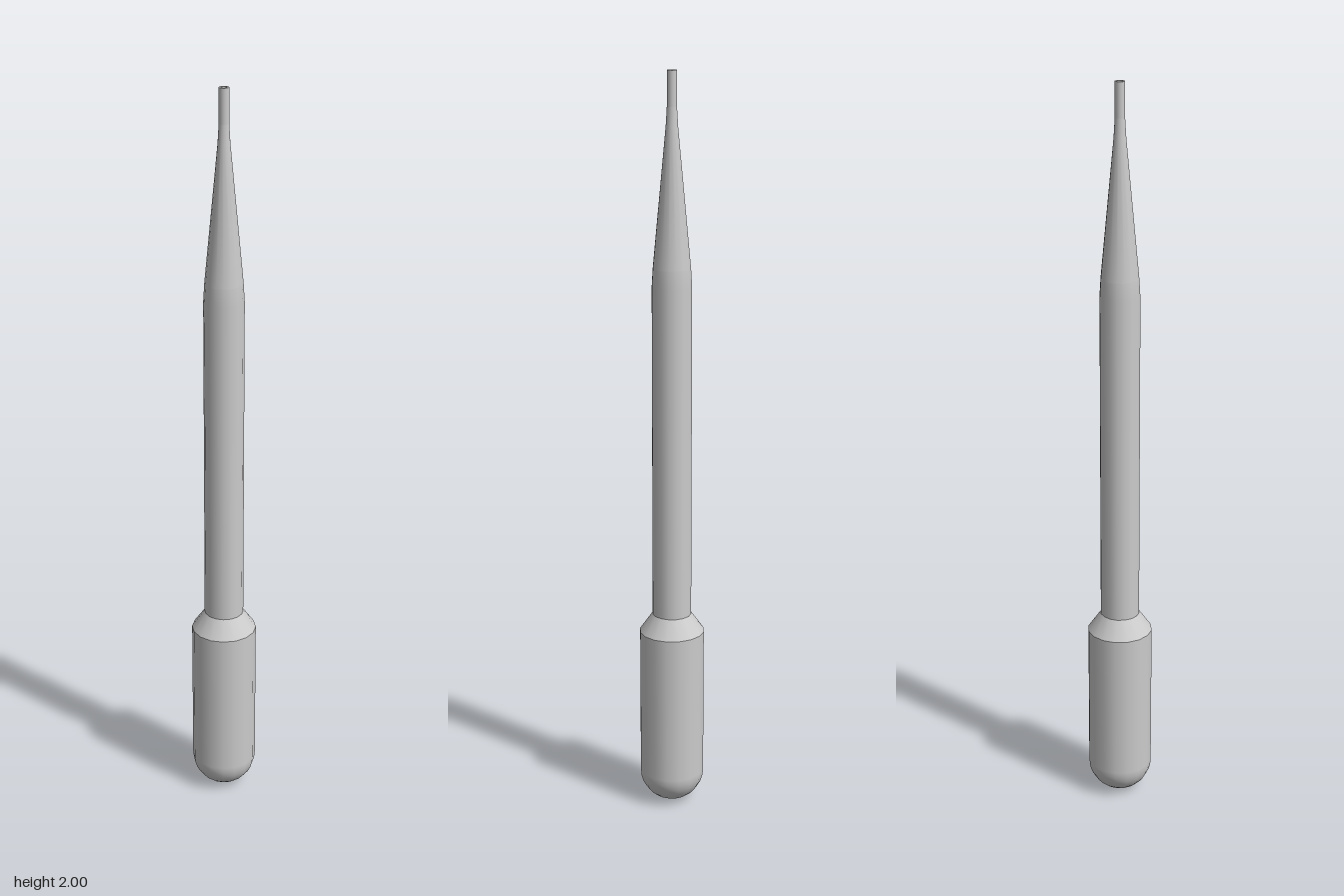
import * as THREE from 'three';

const SIDES = 16;

export function createModel() {
  const model = new THREE.Group();
  const material = new THREE.MeshStandardMaterial({ color: 0xcccccc });

  // Each section is its own lathe, so edges between sections stay sharp
  const section = (name, profile) => {
    const points = profile.map(([r, y]) => new THREE.Vector2(r, y));
    const mesh = new THREE.Mesh(new THREE.LatheGeometry(points, SIDES), material);
    mesh.name = name;
    model.add(mesh);
  };

  // Squeeze bulb: rounded bottom running into a straight wall
  const R = 0.088;
  const bulb = [];
  for (let i = 0; i <= 8; i++) {
    const a = (i / 8) * Math.PI / 2;
    bulb.push([R * Math.sin(a), R * (1 - Math.cos(a))]);
  }
  bulb.push([R, 0.5]);
  section('bulb', bulb);
  section('bulbShoulder', [[R, 0.5], [0.053, 0.55]]);

  // Straight stem easing into the long taper and the narrow nozzle
  section('stem', [[0.053, 0.55], [0.053, 1.45], [0.05, 1.5]]);
  section('taper', [[0.05, 1.5], [0.016, 1.86], [0.013, 1.91]]);
  section('nozzle', [[0.013, 1.91], [0.013, 2]]);

  // Open end with its bore
  section('nozzleRim', [[0.013, 2], [0.008, 2]]);
  section('bore', [[0.008, 2], [0.008, 1.9]]);
  section('boreFloor', [[0.008, 1.9], [0, 1.9]]);

  return model;
}
